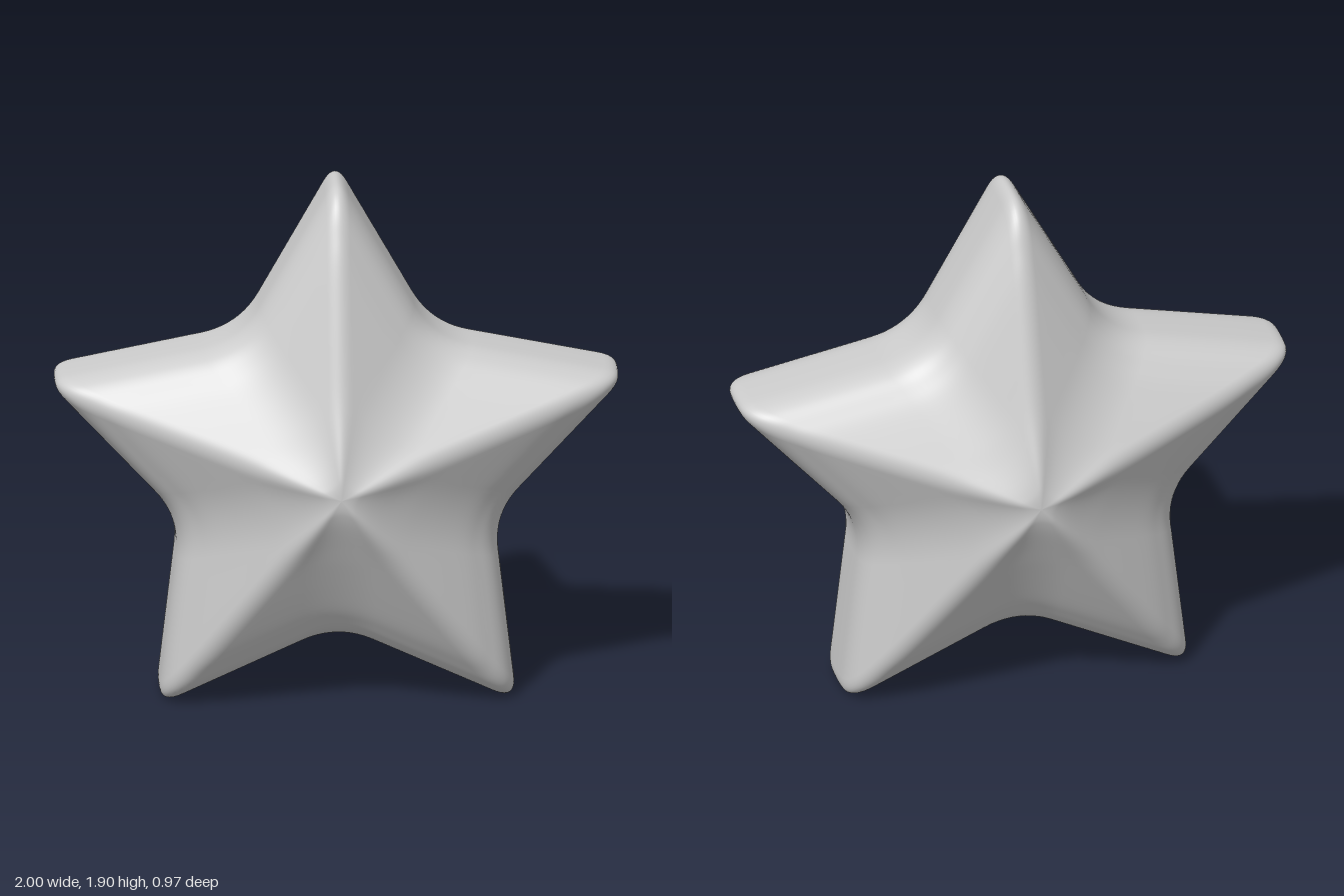
import * as THREE from 'three';

const CENTRE_Y = 0.855, TIP = 1.085, NOTCH = 0.585;

// Sharp star corner k of 10 (even = tip, odd = notch)
function corner(k) {
  const a = (k * Math.PI) / 5, r = k % 2 ? NOTCH : TIP;
  return new THREE.Vector2(-Math.sin(a) * r, Math.cos(a) * r);
}

// Star outline with rounded corners; the rounding widens on the small rings near the middle
function outline(s) {
  const pts = [];
  const tipCut = Math.min(0.35, 0.12 / s), notchCut = Math.min(0.5, 0.2 / s);
  for (let k = 0; k < 10; k++) {
    const c = corner(k), cut = k % 2 ? notchCut : tipCut;
    const a = c.clone().lerp(corner(k + 9), cut);
    const b = c.clone().lerp(corner(k + 1), cut);
    const curve = new THREE.QuadraticBezierCurve(a, c, b);
    pts.push(...curve.getPoints(10));
    // straight edge towards the next corner
    const end = corner(k + 1).lerp(c, k % 2 ? tipCut : notchCut);
    for (let i = 1; i < 4; i++) pts.push(b.clone().lerp(end, i / 4));
  }
  return pts;
}

// Half thickness profile: x = outline scale, y = depth
const half = [
  [0, 0.485], [0.05, 0.482], [0.1, 0.473], [0.19, 0.447], [0.38, 0.382], [0.6, 0.31], [0.77, 0.252],
  [0.86, 0.214], [0.92, 0.185], [0.96, 0.155], [0.988, 0.115], [1, 0.06],
];

function starGeometry() {
  const profile = [...half, ...half.map(([s, z]) => [s, -z]).reverse()];
  const curve = new THREE.SplineCurve(profile.map(([s, z]) => new THREE.Vector2(s, z)));
  const rings = curve.getPoints(92).slice(1, -1);
  const pos = [0, 0, half[0][1]], idx = [];
  let n = 0;
  for (const ring of rings) {
    const pts = outline(ring.x);
    n = pts.length;
    for (const p of pts) pos.push(p.x * ring.x, p.y * ring.x, ring.y);
  }
  pos.push(0, 0, -half[0][1]);
  const last = pos.length / 3 - 1;
  for (let i = 0; i < n; i++) {
    const j = (i + 1) % n;
    idx.push(0, 1 + i, 1 + j);
    for (let r = 0; r < rings.length - 1; r++) {
      const a = 1 + r * n, b = a + n;
      idx.push(a + i, b + i, b + j, a + i, b + j, a + j);
    }
    idx.push(last, last - n + j, last - n + i);
  }
  const g = new THREE.BufferGeometry();
  g.setAttribute('position', new THREE.Float32BufferAttribute(pos, 3));
  g.setIndex(idx);
  g.computeVertexNormals();
  return g;
}

export function createModel() {
  const group = new THREE.Group();
  group.name = 'star';
  const grey = new THREE.MeshStandardMaterial({ color: 0xcccccc });
  grey.name = 'light grey';
  const body = new THREE.Mesh(starGeometry(), grey);
  body.name = 'starBody';
  body.position.y = CENTRE_Y;
  group.add(body);
  return group;
}
